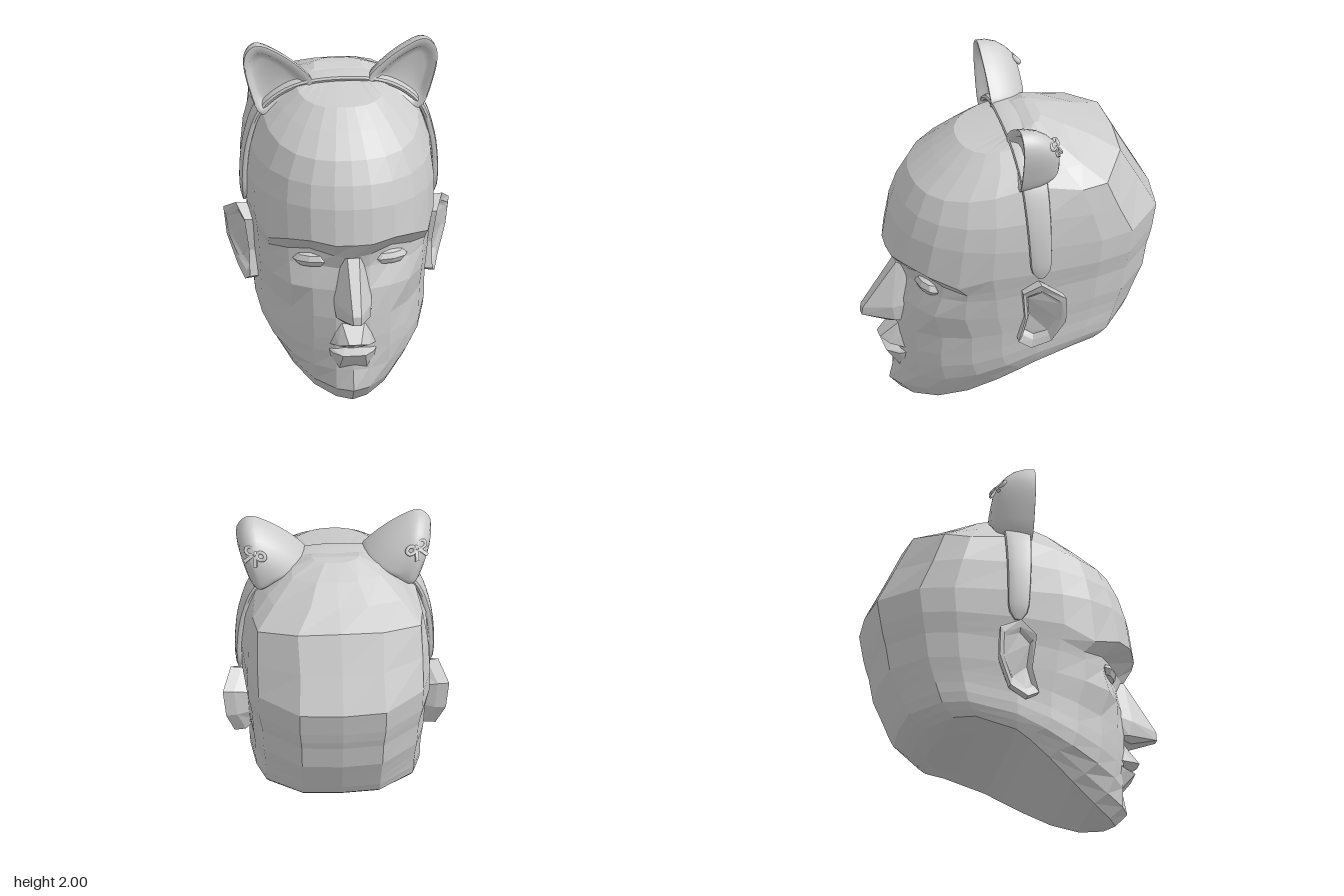
import * as THREE from 'three';
import { toCreasedNormals } from 'three/addons/utils/BufferGeometryUtils.js';
import { ConvexGeometry } from 'three/addons/geometries/ConvexGeometry.js';

const lerp = THREE.MathUtils.lerp;

// Skin a stack of equal rings (counter-clockwise about the stacking direction), closed at both ends
function loft(rings, creaseAngle = 0) {
  const n = rings[0].length, last = (rings.length - 1) * n, index = [];
  for (let r = 0; r < rings.length - 1; r++) {
    for (let i = 0; i < n; i++) {
      const a = r * n + i, b = r * n + (i + 1) % n;
      index.push(a, b, b + n, a, b + n, a + n);
    }
  }
  for (let i = 0; i < n / 2; i++) {
    const a = i, b = i + 1, c = n - i - 1, d = (n - i) % n;
    if (a !== d) index.push(a, d, c, last + a, last + c, last + d);
    if (b !== c) index.push(a, c, b, last + a, last + b, last + c);
  }
  const geometry = new THREE.BufferGeometry();
  geometry.setAttribute('position', new THREE.Float32BufferAttribute(rings.flat(2), 3));
  geometry.setIndex(index);
  if (creaseAngle) return toCreasedNormals(geometry, creaseAngle);
  const flat = geometry.toNonIndexed();
  flat.computeVertexNormals();
  return flat;
}

// Mirror rings to the other side, keeping the faces outward
const side = (rings, s) => s > 0 ? rings
  : rings.map(ring => ring.map(([x, y, z]) => [-x, y, z]).reverse());

// Faceted solid from points on one side, mirrored over x = 0
const symmetricHull = half => new ConvexGeometry(
  half.flatMap(([x, y, z]) => [new THREE.Vector3(x, y, z), new THREE.Vector3(-x, y, z)]));

// Each head row: front y, front z, back y, back z, half width, front roundness
const headRows = [
  [0.00, 0.57, 0.385, -0.48, 0.30, 1.5],
  [0.01, 0.62, 0.425, -0.56, 0.45, 1.4],
  [0.09, 0.69, 0.46, -0.61, 0.47, 1.5],
  [0.21, 0.665, 0.50, -0.66, 0.485, 1.85],
  [0.32, 0.66, 0.56, -0.69, 0.49, 2.0],
  [0.40, 0.665, 0.62, -0.715, 0.49, 2.0],
  [0.53, 0.665, 0.69, -0.745, 0.495, 2.0],
  [0.70, 0.64, 0.77, -0.78, 0.505, 2.2],
  [0.83, 0.635, 0.92, -0.805, 0.515, 2.3],
  [0.91, 0.66, 0.97, -0.82, 0.525, 2.3],
  [1.01, 0.715, 1.04, -0.835, 0.54, 2.3],
  [1.22, 0.68, 1.19, -0.86, 0.545, 2.3],
  [1.35, 0.635, 1.40, -0.75, 0.525, 2.3],
  [1.48, 0.565, 1.62, -0.64, 0.455, 2.4],
  [1.60, 0.42, 1.69, -0.48, 0.36, 2.4],
  [1.70, 0.29, 1.76, -0.33, 0.26, 2.4],
  [1.75, 0.03, 1.81, -0.20, 0.14, 2.2],
];
const frontColumns = [0, 0.2, 0.45, 0.68, 0.86, 0.96, 1];
const backColumns = [0.97, 0.875, 0.46, 0];

// Sockets, brow, cheekbones and back corners: row, column, x, y and z shift
const shifts = [
  [7, 3, 0, 0, 0.03], [7, 4, 0, 0, 0.02], [6, 3, 0, 0, -0.01],
  [8, 1, 0, 0, -0.03], [8, 2, 0, 0, -0.05], [8, 3, 0, 0, -0.02],
  [9, 1, 0, 0, -0.04], [9, 2, 0, 0.02, -0.08], [9, 3, 0, 0, -0.05], [9, 4, 0, -0.03, -0.02],
  [10, 2, 0, 0.02, 0], [10, 3, 0, 0, 0.01], [10, 4, 0, -0.06, 0.01],
  [12, 7, 0.01, -0.02, 0], [12, 8, 0.02, -0.03, 0],
  [13, 7, 0.05, -0.08, 0], [13, 8, 0.075, -0.07, -0.01], [13, 9, 0.04, -0.01, 0],
  [14, 7, 0.05, -0.05, 0], [14, 8, 0.055, -0.05, 0], [15, 8, 0.03, -0.02, 0],
];

function headGeometry() {
  const rings = headRows.map(([yF, zF, yB, zB, w, n], row) => {
    const zMid = row > 14 ? (zF + zB) / 2 : -0.06;
    const half = [...frontColumns, ...backColumns].map((u, col) => {
      const front = col < frontColumns.length, p = front ? n : 3.2;
      const z = zMid + ((front ? zF : zB) - zMid) * Math.pow(1 - Math.pow(u, p), 1 / p);
      const rise = THREE.MathUtils.smoothstep((zF - z) / (zF - zB), 0, 0.77);
      const [, , dx, dy, dz] = shifts.find(f => f[0] === row && f[1] === col) || [0, 0, 0, 0, 0];
      return [u * w + dx, lerp(yF, yB, rise) + dy, z + dz];
    });
    const mirrored = half.slice(1, -1).reverse().map(([x, y, z]) => [-x, y, z]);
    return [...half, ...mirrored];
  });
  return loft(rings);
}

// Ear outline: x of the rim, y, z
const earRim = [
  [0.60, 0.99, -0.06], [0.56, 0.92, 0.04], [0.53, 0.72, 0.02], [0.53, 0.57, 0.06],
  [0.55, 0.53, -0.01], [0.58, 0.58, -0.12], [0.635, 0.74, -0.195], [0.655, 0.91, -0.195],
];
function earRings() {
  const ring = (s, x) => earRim.map(p =>
    [x(p[0]), lerp(0.77, p[1], s), lerp(-0.07, p[2], s)]);
  return [ring(0.7, () => 0.46), ring(0.97, x => x - 0.065), ring(1, x => x),
    ring(0.8, x => x - 0.01), ring(0.68, x => x - 0.03)];
}

// Headband: a flat rounded strap swept over the head
function bandGeometry() {
  const half = [[0.548, 1.01], [0.553, 1.2], [0.53, 1.4], [0.455, 1.6], [0.28, 1.73]];
  const curve = new THREE.CatmullRomCurve3([...half, [0, 1.77],
    ...half.slice().reverse().map(([x, y]) => [-x, y])].map(([x, y]) => new THREE.Vector3(x, y, 0)));
  const steps = 48, rings = [];
  for (let i = 0; i <= steps; i++) {
    const t = i / steps, p = curve.getPointAt(t), d = curve.getTangentAt(t);
    const middle = Math.sin(Math.PI * t);
    const taper = Math.min(1, 0.35 + Math.sqrt(Math.min(t, 1 - t) / 0.08));
    const width = lerp(0.06, 0.085, middle) * taper, thick = 0.022 * taper;
    rings.push(Array.from({ length: 16 }, (_, k) => {
      const a = k / 16 * Math.PI * 2, s = Math.sin(a), c = Math.cos(a);
      const out = Math.sign(s) * Math.sqrt(Math.abs(s)) * thick;
      return [p.x + d.y * out, p.y - d.x * out, lerp(-0.07, -0.05, middle) + c * width];
    }));
  }
  return loft(rings, 0.8);
}

// Cat ear: domed back, sloping rim and shallow hollow front
function catEarRings() {
  const outline = new THREE.CatmullRomCurve3([
    [0.165, 1.76], [0.28, 1.665], [0.455, 1.57], [0.53, 1.72], [0.56, 1.93],
    [0.495, 2.0], [0.36, 1.945], [0.205, 1.82],
  ].map(([x, y]) => new THREE.Vector3(x, y, 0)), true).getPoints(32).slice(0, 32);
  const layers = [[-0.205, 0.25], [-0.195, 0.44], [-0.17, 0.64], [-0.13, 0.8], [-0.08, 0.92],
    [-0.02, 0.985], [0.033, 1], [0.035, 0.95], [0.02, 0.78], [-0.015, 0.68], [-0.025, 0.55]];
  return layers.map(([z, s]) =>
    outline.map(p => [lerp(0.42, p.x, s), lerp(z < -0.05 ? 1.7 : 1.76, p.y, s), z]));
}

export function createModel() {
  const model = new THREE.Group();
  const grey = new THREE.MeshStandardMaterial({ color: 0xcccccc });
  grey.name = 'light grey';
  const add = (name, geometry, parent = model) => {
    const mesh = new THREE.Mesh(geometry, grey);
    mesh.name = name;
    parent.add(mesh);
    return mesh;
  };

  add('head', headGeometry());
  add('nose', symmetricHull([
    [0.035, 0.91, 0.66], [0.06, 0.89, 0.6], [0.025, 0.62, 0.855], [0.022, 0.57, 0.86],
    [0.1, 0.64, 0.7], [0.115, 0.66, 0.6], [0.1, 0.55, 0.68], [0.05, 0.52, 0.7], [0.1, 0.54, 0.6],
  ]));
  add('upperLip', symmetricHull([
    [0.035, 0.405, 0.755], [0.07, 0.52, 0.64], [0.09, 0.385, 0.71], [0.16, 0.362, 0.58],
    [0.11, 0.47, 0.62], [0.05, 0.36, 0.67],
  ]));
  add('lowerLip', symmetricHull([
    [0.065, 0.325, 0.725], [0.16, 0.352, 0.58], [0.05, 0.35, 0.66], [0.08, 0.22, 0.645],
    [0.13, 0.25, 0.6], [0.12, 0.325, 0.66],
  ]));

  for (const s of [1, -1]) {
    const prefix = s > 0 ? 'left' : 'right';
    const eye = new THREE.SphereGeometry(1, 8, 4).toNonIndexed();
    eye.scale(0.11, 0.045, 0.05);
    eye.computeVertexNormals();
    const eyeMesh = add(prefix + 'Eye', eye);
    eyeMesh.position.set(0.23 * s, 0.86, 0.525);
    eyeMesh.rotation.y = 0.35 * s;

    add(prefix + 'Ear', loft(side(earRings(), s)));
    add(prefix + 'CatEar', loft(side(catEarRings(), s), 0.9));

    // Small bow on the back of the cat ear
    const bow = new THREE.Group();
    bow.name = prefix + 'Bow';
    bow.position.set(0.465 * s, 1.875, -0.168);
    bow.rotation.set(0.6, -0.3 * s, 0.5 * s);
    model.add(bow);
    add('bowKnot', new THREE.SphereGeometry(0.018, 10, 8), bow);
    for (const k of [1, -1]) {
      const loop = add('bowLoop', new THREE.TorusGeometry(0.024, 0.011, 8, 14), bow);
      loop.position.x = 0.036 * k;
      loop.scale.set(1.1, 0.9, 1.3);
      const tail = add('bowTail', new THREE.BoxGeometry(0.02, 0.065, 0.016), bow);
      tail.position.set(0.022 * k, -0.042, -0.004);
      tail.rotation.z = 0.45 * k;
    }
  }
  add('headband', bandGeometry());
  return model;
}
